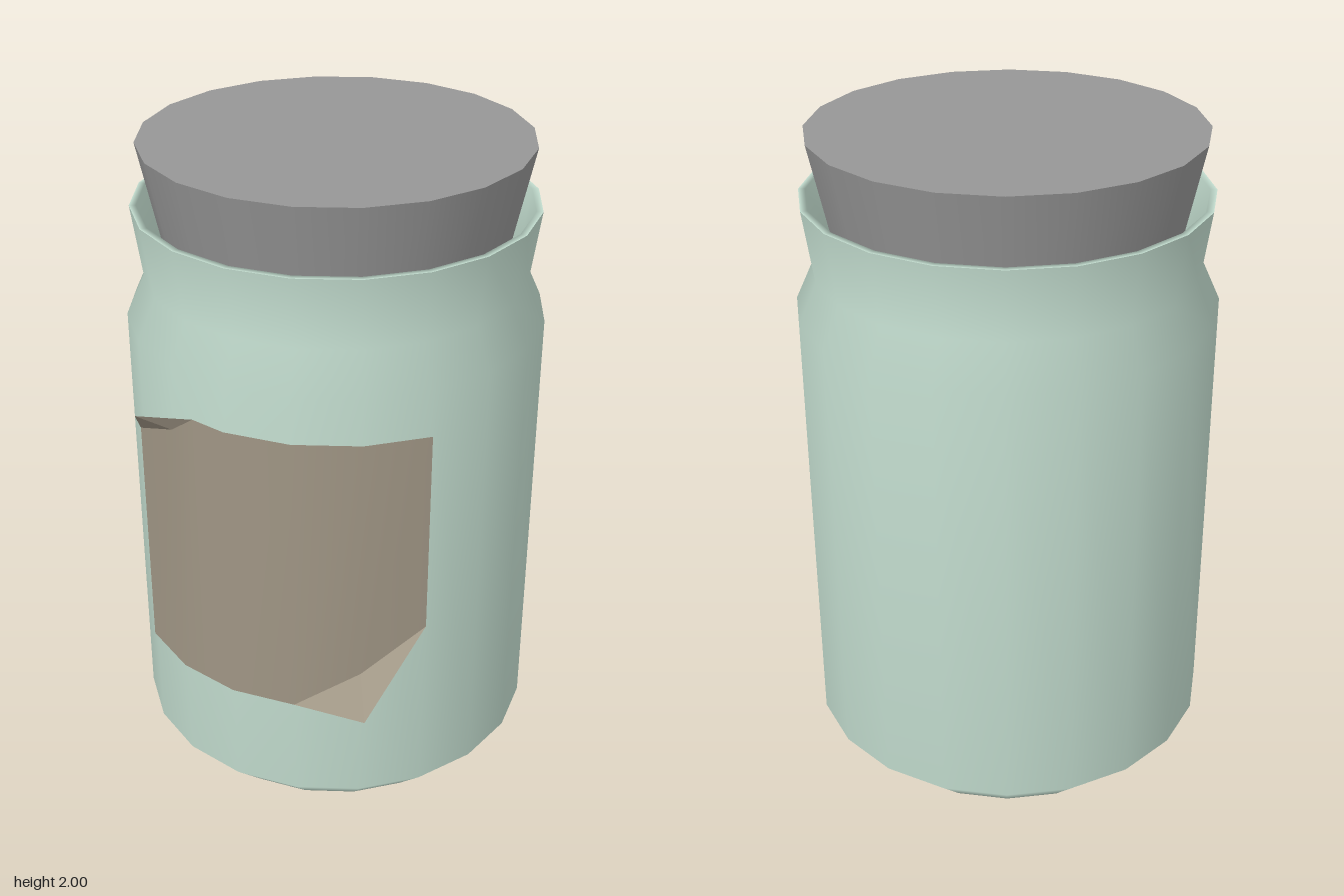
import * as THREE from 'three';

const SIDES = 20;
const STEP = (Math.PI * 2) / SIDES;
const PHASE = THREE.MathUtils.degToRad(3.7);
const CENTRE_Z = -0.055;

function material(color, side = THREE.FrontSide) {
  return new THREE.MeshStandardMaterial({ color, side });
}

function named(name, geometry, mat) {
  const mesh = new THREE.Mesh(geometry, mat);
  mesh.name = name;
  return mesh;
}

function lathe(points) {
  const profile = points.map(([r, y]) => new THREE.Vector2(r, y));
  return new THREE.LatheGeometry(profile, SIDES, PHASE);
}

// Point just outside the jar wall; k counts facet corners from the front,
// and fractions lie on the straight facet between two corners.
function onWall(k, y) {
  const corner = (i) => {
    const a = PHASE + i * STEP;
    return new THREE.Vector3(Math.sin(a) * 0.63, y, Math.cos(a) * 0.63);
  };
  const k0 = Math.floor(k);
  return corner(k0).lerp(corner(k0 + 1), k - k0);
}

// Wrapped sheet from columns of [facet position, bottom, top]
function sheet(columns) {
  const points = [], index = [];
  columns.forEach(([k, bottom, top], i) => {
    points.push(onWall(k, bottom), onWall(k, top));
    if (i > 0) {
      const a = 2 * i - 2;
      index.push(a, a + 2, a + 3, a, a + 3, a + 1);
    }
  });
  const geometry = new THREE.BufferGeometry().setFromPoints(points);
  geometry.setIndex(index);
  geometry.computeVertexNormals();
  return geometry;
}

// Peeled corner: a fan from the loose tip to the fold line
function flap(tip, fold) {
  const points = [];
  for (let i = 0; i < fold.length - 1; i++) points.push(tip, fold[i], fold[i + 1]);
  const geometry = new THREE.BufferGeometry().setFromPoints(points);
  geometry.computeVertexNormals();
  return geometry;
}

export function createModel() {
  const model = new THREE.Group();
  model.name = 'jar';
  const body = new THREE.Group();
  body.name = 'jarBody';
  body.position.z = CENTRE_Z;
  model.add(body);

  const glass = material(0xc4ded0);
  const paper = material(0x9f9584, THREE.DoubleSide);

  // Outer wall with chamfered foot, shoulder and flared neck
  body.add(named('outerWall', lathe([
    [0, 0], [0.495, 0], [0.62, 0.125], [0.62, 1.48], [0.565, 1.6], [0.595, 1.815],
  ]), glass));

  // Rim and inner wall
  body.add(named('innerWall', lathe([
    [0.595, 1.815], [0.575, 1.815], [0.543, 1.6], [0.595, 1.47], [0.595, 0.14], [0.48, 0.03], [0, 0.03],
  ]), glass));

  // Tapered stopper
  const stopper = named('stopper',
    new THREE.CylinderGeometry(0.57, 0.485, 0.4, SIDES, 1, false, PHASE), material(0x969696));
  stopper.position.y = 1.8;
  body.add(stopper);

  // Label with two peeled corners
  const label = new THREE.Group();
  label.name = 'label';
  body.add(label);
  const low = 0.455, high = 1.345;
  label.add(named('labelSheet', sheet([
    [-3, low, 1.2], [-2, low, 1.285], [-1.58, low, high], [-1, low, high],
    [0, low, high], [1, 0.577, high], [2, 0.71, high],
  ]), paper));
  label.add(named('upperPeeledCorner', flap(
    new THREE.Vector3(-0.44, 1.32, 0.49 - CENTRE_Z),
    [onWall(-1.58, high), onWall(-2, 1.285), onWall(-3, 1.2)]), paper));
  label.add(named('lowerPeeledCorner', flap(
    new THREE.Vector3(0.28, 0.515, 0.67 - CENTRE_Z),
    [onWall(2, 0.71), onWall(1, 0.577), onWall(0, low)]), paper));

  return model;
}
